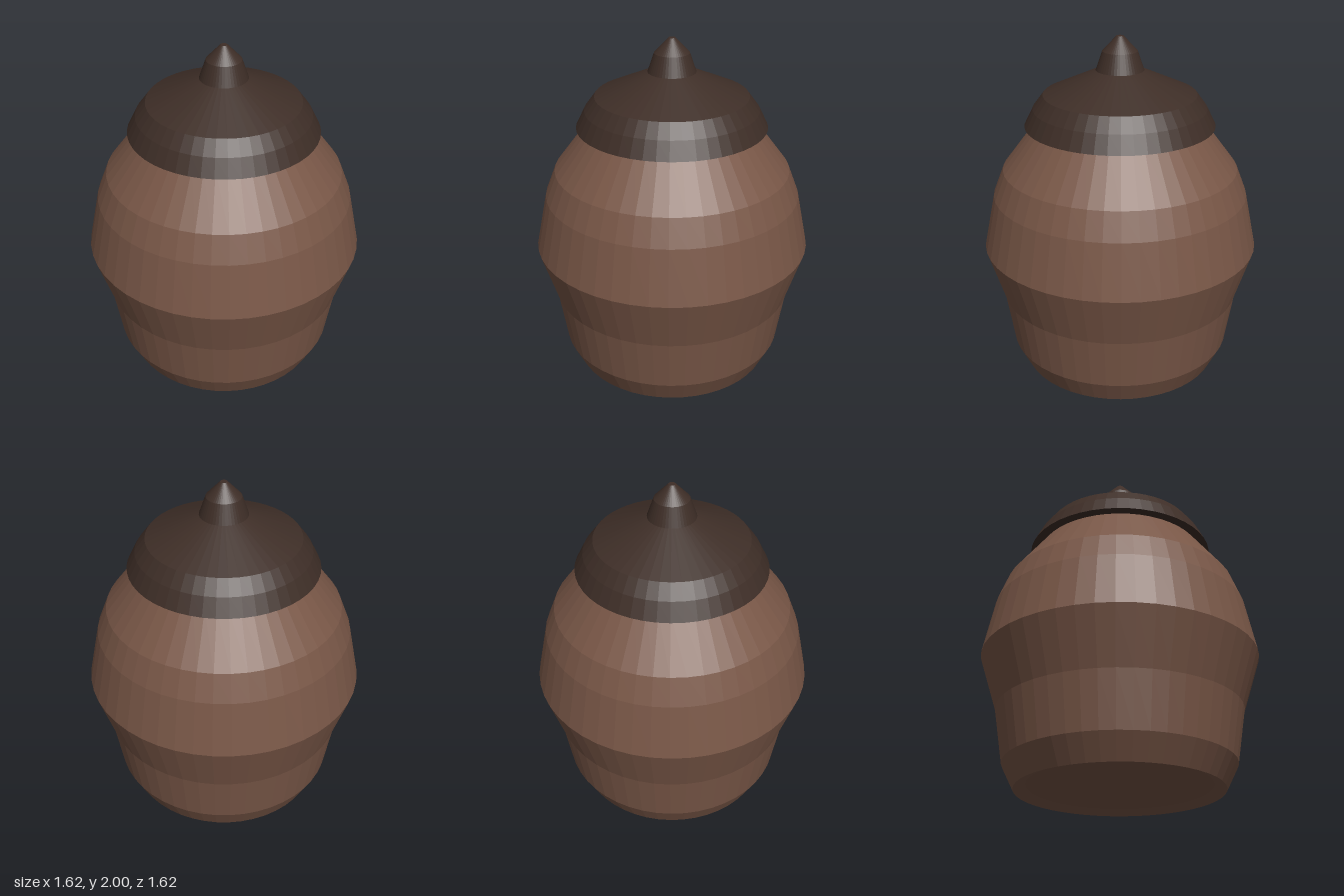
import * as THREE from 'three';

const SEGMENTS = 48;

// Spins a list of [radius, height] points, running from the underside up and over
function turned(name, profile, color) {
  const points = profile.map(([r, y]) => new THREE.Vector2(r, y));
  const material = new THREE.MeshStandardMaterial({ color, flatShading: true });
  const mesh = new THREE.Mesh(new THREE.LatheGeometry(points, SEGMENTS), material);
  mesh.name = name;
  return mesh;
}

export function createModel() {
  const clay = 0x795747;
  const darkClay = 0x3e2e27;
  const jar = new THREE.Group();
  jar.name = 'liddedJar';

  // Body, with a shallow recess under the foot and a neck closed inside the lid
  jar.add(turned('body', [
    [0, 0.03], [0.52, 0.03], [0.59, 0],
    [0.66, 0.14], [0.71, 0.45], [0.81, 0.765],
    [0.745, 1.08], [0.685, 1.235], [0.485, 1.5], [0, 1.5],
  ], clay));

  // Domed lid overhanging the neck
  jar.add(turned('lid', [
    [0, 1.49], [0.55, 1.49], [0.5, 1.59], [0.44, 1.67], [0.13, 1.81], [0, 1.81],
  ], darkClay));

  // Pointed knob on the lid
  jar.add(turned('knob', [
    [0, 1.805], [0.138, 1.805], [0.1, 1.915], [0.02, 2], [0, 2],
  ], darkClay));

  return jar;
}
